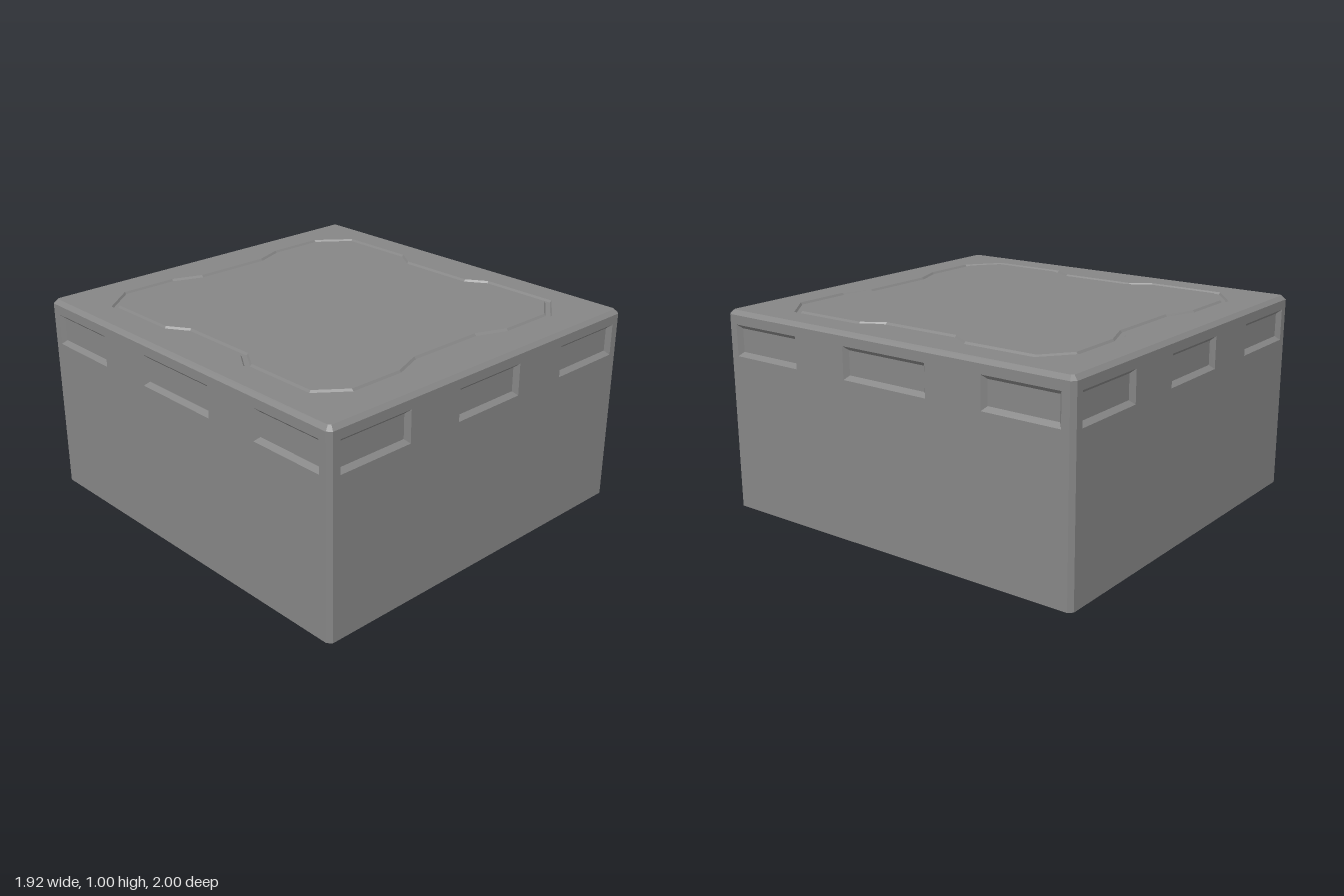
import * as THREE from 'three';
import { mergeGeometries } from 'three/addons/utils/BufferGeometryUtils.js';

const HX = 0.959, HZ = 1, H = 1, C = 0.02; // half sizes, height, edge chamfer

const at = (loop, z) => loop.map(([x, y]) => [x, y, z]);
const rect = (x, y, w, h) => [[x + w, y + h], [x - w, y + h], [x - w, y - h], [x + w, y - h]];

// Flat-shaded band joining two matching loops (counter-clockwise, a outside b)
function band(a, b, keep = () => true) {
  const pos = [];
  a.forEach((p, i) => {
    if (!keep(i)) return;
    const j = (i + 1) % a.length;
    pos.push(...p, ...a[j], ...b[j], ...p, ...b[j], ...b[i]);
  });
  const g = new THREE.BufferGeometry();
  g.setAttribute('position', new THREE.Float32BufferAttribute(pos, 3));
  g.computeVertexNormals();
  return g;
}

// Flat face at height z with optional holes
function face(loop, z, holes = []) {
  const pts = (l) => l.map(([x, y]) => new THREE.Vector2(x, y));
  const s = new THREE.Shape(pts(loop));
  s.holes = holes.map((h) => new THREE.Path(pts(h)));
  const g = new THREE.ShapeGeometry(s).toNonIndexed();
  g.deleteAttribute('uv');
  return g.translate(0, 0, z);
}

// Mirror one quadrant into a closed counter-clockwise loop
function fourWay(q) {
  const r = [...q].reverse();
  return [
    ...q,
    ...r.map(([x, y]) => [-x, y]),
    ...q.map(([x, y]) => [-x, -y]),
    ...r.map(([x, y]) => [x, -y]),
  ];
}

// Rectangle with its corners cut off
const cutRect = (x, y, cut) => fourWay([[x, y - cut], [x - cut, y]]);

// Wall with three bevelled pockets, built facing +z
function wall(half, dist, pockets) {
  const bevel = 0.02, depth = 0.022, y = 0.856, h = 0.078;
  const outline = [[half - C, 0], [half - C, H - C], [C - half, H - C], [C - half, 0]];
  const holes = pockets.map(([x, w]) => rect(x, y, w, h));
  const parts = [face(outline, dist, holes)];
  pockets.forEach(([x, w], i) => {
    const floor = rect(x, y, w - bevel, h - bevel);
    parts.push(band(at(holes[i], dist), at(floor, dist - depth)), face(floor, dist - depth));
  });
  return mergeGeometries(parts);
}

export function createModel() {
  const group = new THREE.Group();
  const material = new THREE.MeshStandardMaterial({ color: 0x868686, flatShading: true });
  const add = (name, geometry) => {
    const m = new THREE.Mesh(geometry, material);
    m.name = name;
    group.add(m);
  };
  const lay = (g) => g.rotateX(-Math.PI / 2);

  // Four pocketed walls
  const frontPockets = [[-0.7, 0.2], [0, 0.2], [0.7, 0.2]];
  const sidePockets = [[-0.74, 0.2], [0, 0.24], [0.74, 0.2]];
  ['frontWall', 'leftWall', 'backWall', 'rightWall'].forEach((name, i) => {
    const g = i % 2 ? wall(HZ, HX, sidePockets) : wall(HX, HZ, frontPockets);
    add(name, g.rotateY(i * Math.PI / 2));
  });

  // Chamfered corners and top rim
  const footprint = cutRect(HX, HZ, C);
  const rim = cutRect(HX - C, HZ - C, 0.01);
  add('cornerChamfers', lay(band(at(footprint, 0), at(footprint, H - C), (i) => i % 2 === 0)));
  add('topChamfer', lay(band(at(footprint, H - C), at(rim, H))));

  // Underside
  add('underside', face(footprint, 0).rotateX(Math.PI / 2));

  // Groove outline: t = 0 is its outer edge, t = 1 its inner edge
  const outer = [[0.742, 0.2], [0.808, 0.3], [0.808, 0.7], [0.64, 0.833], [0.35, 0.833], [0.2, 0.778]];
  const inner = [[0.703, 0.205], [0.77, 0.31], [0.77, 0.685], [0.635, 0.79], [0.355, 0.79], [0.2, 0.73]];
  const ring = (t) => fourWay(outer.map((p, i) => p.map((v, k) => v + (inner[i][k] - v) * t)));
  const low = H - 0.01;

  // Top surface, groove and centre panel
  add('topBorder', lay(face(rim, H, [ring(0)])));
  add('topGroove', lay(mergeGeometries([
    band(at(ring(0), H), at(ring(0.2), low)),
    band(at(ring(0.2), low), at(ring(0.8), low)),
    band(at(ring(0.8), low), at(ring(1), H)),
  ])));
  add('centrePanel', lay(face(ring(1), H)));

  return group;
}
